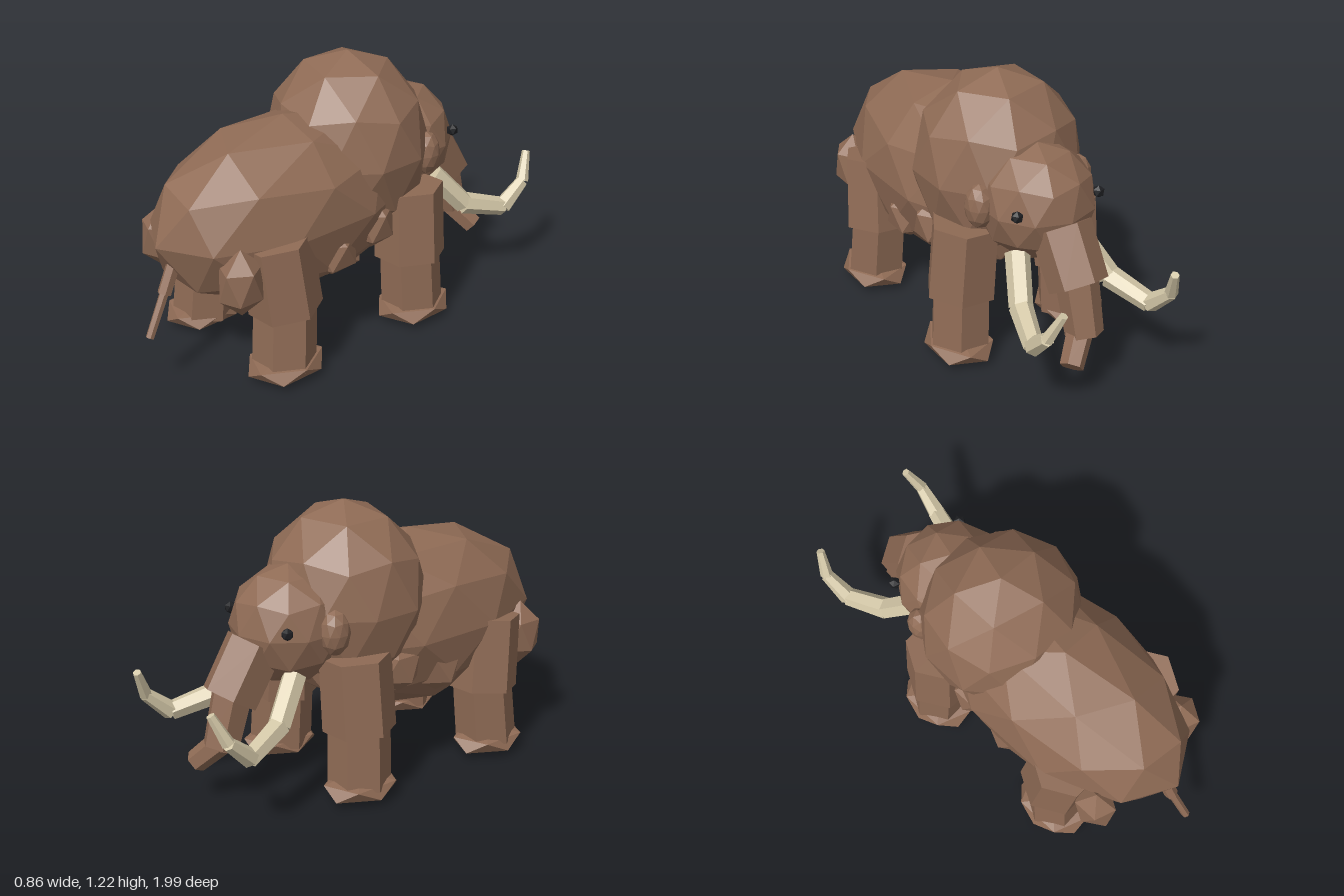
import * as THREE from 'three';

const hide = new THREE.MeshStandardMaterial({ color: 0x8f6b55, flatShading: true });
hide.name = 'brown hide';
const ivory = new THREE.MeshStandardMaterial({ color: 0xd3c7a7, flatShading: true });
ivory.name = 'ivory';
const black = new THREE.MeshStandardMaterial({ color: 0x1d1e21, flatShading: true });
black.name = 'eye black';

// Icosphere with its poles on the y axis
function icosphere(detail) {
  const verts = [0, 1, 0], faces = [];
  for (const [y, start] of [[0.4472, 0], [-0.4472, 36]]) {
    for (let k = 0; k < 5; k++) {
      const a = THREE.MathUtils.degToRad(start + 72 * k);
      verts.push(0.8944 * Math.cos(a), y, -0.8944 * Math.sin(a));
    }
  }
  verts.push(0, -1, 0);
  for (let k = 0; k < 5; k++) {
    const n = (k + 1) % 5, u = 1 + k, un = 1 + n, l = 6 + k, ln = 6 + n;
    faces.push(0, u, un, u, l, un, l, ln, un, 11, ln, l);
  }
  return new THREE.PolyhedronGeometry(verts, faces, 1, detail);
}

function flatMesh(geometry, name, material) {
  const g = geometry.index ? geometry.toNonIndexed() : geometry;
  g.computeVertexNormals();
  const mesh = new THREE.Mesh(g, material);
  mesh.name = name;
  return mesh;
}

function blob(name, pos, radii, detail, material = hide) {
  const mesh = flatMesh(icosphere(detail).scale(...radii), name, material);
  mesh.position.set(...pos);
  return mesh;
}

// Six-sided tapered limb running from point a to point b
function limb(name, a, b, ra, rb, material = hide, twist = 0) {
  const from = new THREE.Vector3(...a), to = new THREE.Vector3(...b);
  const axis = from.clone().sub(to);
  const geometry = new THREE.CylinderGeometry(ra, rb, axis.length(), 6).rotateY(twist);
  const mesh = flatMesh(geometry, name, material);
  mesh.position.copy(from).add(to).multiplyScalar(0.5);
  mesh.quaternion.setFromUnitVectors(new THREE.Vector3(0, 1, 0), axis.normalize());
  return mesh;
}

function chain(name, points, radii, material) {
  const group = new THREE.Group();
  group.name = name;
  for (let i = 0; i < points.length - 1; i++) {
    group.add(limb(name + 'Segment', points[i], points[i + 1], radii[i], radii[i + 1], material));
  }
  return group;
}

function leg(name, s, upperTopZ, upperBottomZ, footZ) {
  const group = new THREE.Group();
  group.name = name;
  const t = Math.PI / 6;
  group.add(
    limb('upperLeg', [s * 0.248, 0.635, upperTopZ], [s * 0.27, 0.31, upperBottomZ], 0.152, 0.157, hide, t),
    limb('lowerLeg', [s * 0.268, 0.36, upperBottomZ], [s * 0.282, 0.06, footZ], 0.133, 0.137, hide, t),
    blob('foot', [s * 0.29, 0.06, footZ], [0.154, 0.056, 0.194], 0),
  );
  return group;
}

export function createModel() {
  const model = new THREE.Group();
  model.name = 'mammoth';

  // Body, shoulder hump and head
  model.add(
    blob('body', [0, 0.63, 0.25], [0.37, 0.397, 0.66], 1),
    blob('hump', [0, 0.8, -0.105], [0.37, 0.42, 0.352], 1),
    blob('head', [0, 0.743, -0.395], [0.25, 0.257, 0.256], 1),
  );

  // Trunk, curling to one side at the tip
  model.add(
    limb('trunkTop', [0, 0.692, -0.573], [0, 0.483, -0.706], 0.128, 0.125),
    limb('trunkMiddle', [0, 0.51, -0.69], [0, 0.28, -0.755], 0.09, 0.08),
    limb('trunkTip', [0.02, 0.285, -0.75], [0.105, 0.188, -0.815], 0.055, 0.05),
  );

  // Tail
  model.add(
    limb('tailBase', [0.006, 0.54, 0.83], [0.012, 0.42, 0.888], 0.03, 0.03),
    limb('tailEnd', [0.012, 0.44, 0.88], [0.028, 0.255, 0.98], 0.02, 0.018),
  );

  for (const s of [1, -1]) {
    const side = s > 0 ? 'left' : 'right';
    model.add(
      leg(side + 'FrontLeg', s, -0.245, -0.24, -0.25),
      leg(side + 'HindLeg', s, 0.5, 0.465, 0.487),
      blob(side + 'Ear', [s * 0.245, 0.755, -0.345], [0.06, 0.1, 0.067], 1),
      blob(side + 'Eye', [s * 0.2, 0.785, -0.552], [0.027, 0.027, 0.027], 0, black),
    );
    // Shaggy tufts along the flank
    model.add(
      blob(side + 'HindTuft', [s * 0.268, 0.507, 0.69], [0.093, 0.15, 0.108], 0),
      blob(side + 'BellyTuft', [s * 0.255, 0.475, 0.2], [0.11, 0.118, 0.122], 0),
      blob(side + 'ShoulderTuft', [s * 0.255, 0.535, -0.02], [0.105, 0.125, 0.11], 0),
    );
    // Upswept tusk
    model.add(chain(side + 'Tusk', [
      [s * 0.15, 0.575, -0.484], [s * 0.222, 0.41, -0.62], [s * 0.29, 0.355, -0.81],
      [s * 0.305, 0.455, -0.92], [s * 0.27, 0.58, -0.975],
    ], [0.052, 0.05, 0.042, 0.029, 0.018], ivory));
  }
  return model;
}
